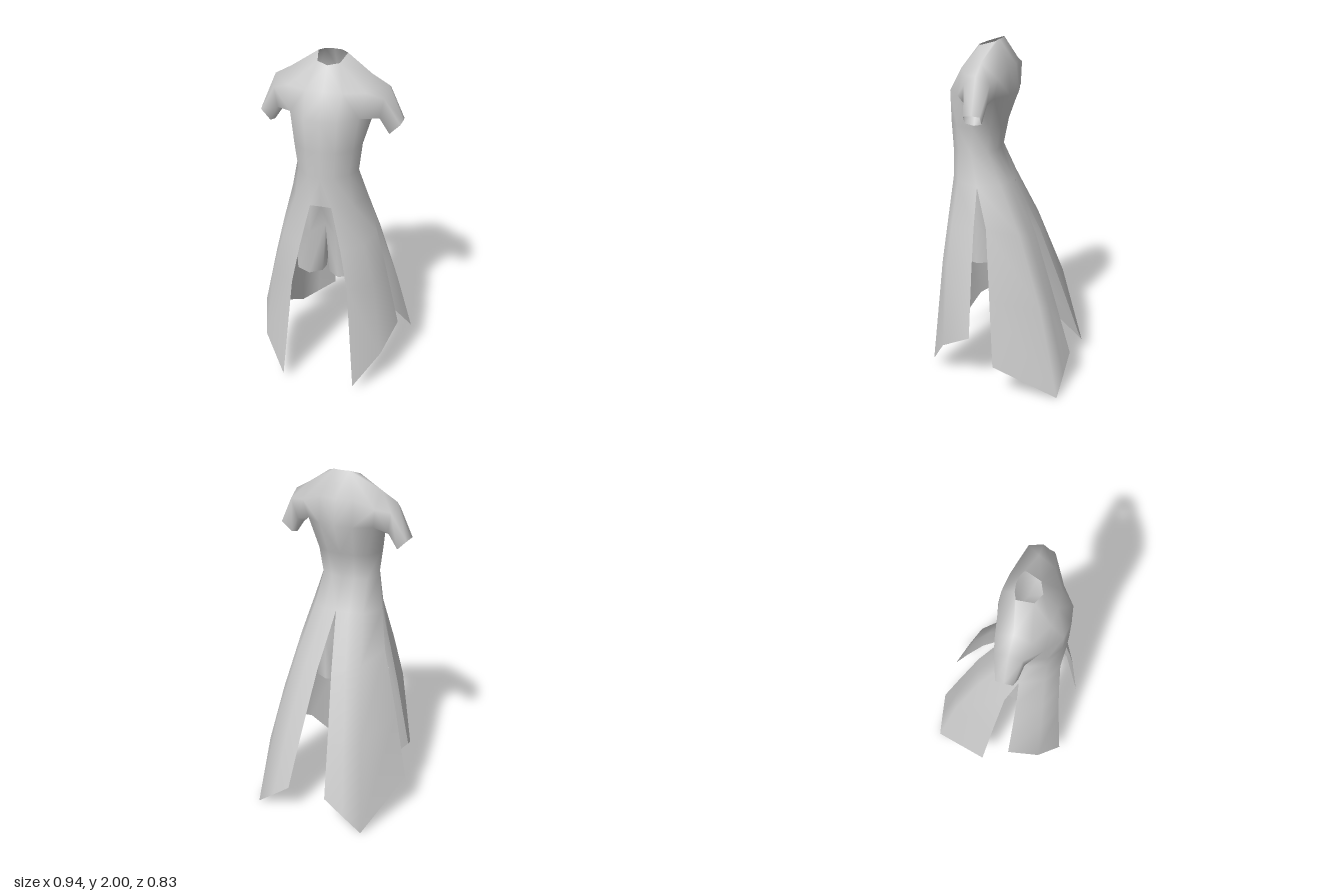
import * as THREE from 'three';
import { mergeVertices } from 'three/addons/utils/BufferGeometryUtils.js';

const material = new THREE.MeshStandardMaterial({ color: 0xcccccc, side: THREE.DoubleSide });

// Collects the surface of the left half (+x); build() adds the mirrored half.
class HalfSurface {
  constructor() { this.tris = []; }
  tri(a, b, c) { this.tris.push([a, b, c]); }
  // rows of points, stitched to each other
  grid(...rows) {
    for (let i = 0; i + 1 < rows.length; i++) {
      for (let j = 0; j + 1 < rows[i].length; j++) {
        const [a, b] = [rows[i], rows[i + 1]];
        this.tri(a[j], b[j], b[j + 1]);
        this.tri(a[j], b[j + 1], a[j + 1]);
      }
    }
  }
  build(name) {
    const flip = ([x, y, z]) => [-x, y, z];
    const pos = [];
    for (const [a, b, c] of this.tris) {
      pos.push(...a, ...b, ...c, ...flip(a), ...flip(c), ...flip(b));
    }
    let geo = new THREE.BufferGeometry();
    geo.setAttribute('position', new THREE.Float32BufferAttribute(pos, 3));
    geo = mergeVertices(geo, 1e-4);
    geo.computeVertexNormals();
    const mesh = new THREE.Mesh(geo, material);
    mesh.name = name;
    return mesh;
  }
}

// Half ring at one height, from front centre round the side to back centre
const ring = (y, xz) => xz.map(([x, z]) => [x, y, z]);
const close = (loop) => [...loop, loop[0]];

const hip = ring(1.2, [[0, 0.31], [0.06, 0.312], [0.165, 0.25], [0.22, 0.118], [0.155, 0.0], [0.075, -0.028], [0, -0.035]]);
const waist = ring(1.38, [[0, 0.322], [0.07, 0.305], [0.14, 0.25], [0.175, 0.165], [0.14, 0.08], [0.07, 0.05], [0, 0.043]]);
const ribs = ring(1.53, [[0, 0.325], [0.08, 0.31], [0.16, 0.25], [0.19, 0.15], [0.155, 0.06], [0.08, 0.022], [0, 0.015]]);
const chest = ring(1.71, [[0, 0.325], [0.09, 0.31], [0.185, 0.235], [0.24, 0.1], [0.2, 0.02], [0.1, -0.038], [0, -0.06]]);

function makeCoat() {
  const s = new HalfSurface();

  // Torso up to the armpit
  s.grid(chest, ribs, waist, hip);

  // Upper chest and back, either side of the armhole
  const front = [[0, 1.84, 0.248], [0.1, 1.84, 0.24], [0.21, 1.83, 0.175]];
  const back = [[0.22, 1.82, -0.01], [0.1, 1.86, -0.03], [0, 1.86, -0.043]];
  s.grid(front, chest.slice(0, 3));
  s.grid(back, chest.slice(4));

  // Shoulder and neckline
  const top = [0.22, 1.903, 0.085];
  const [n0, n1, n2, n3, n4] = [[0, 1.957, 0.168], [0.06, 1.965, 0.14], [0.08, 1.992, 0.053], [0.045, 2, 0.038], [0, 2, 0.032]];
  s.grid([n0, n1], front.slice(0, 2));
  s.grid([n3, n4], back.slice(1));
  s.tri(front[1], front[2], n1);
  s.tri(front[2], top, n1);
  s.tri(top, n2, n1);
  s.tri(n2, top, n3);
  s.tri(top, back[0], n3);
  s.tri(back[0], back[1], n3);

  // Sleeve: armhole, upper arm, cuff
  const armhole = [chest[3], chest[2], front[2], top, back[0], chest[4]];
  const arm = [[0.275, 1.655, 0.1], [0.28, 1.69, 0.16], [0.3, 1.8, 0.155], [0.31, 1.852, 0.085], [0.305, 1.81, 0.01], [0.28, 1.69, 0.035]];
  const cuff = [[0.32, 1.588, 0.095], [0.33, 1.6, 0.143], [0.385, 1.652, 0.132], [0.392, 1.66, 0.085], [0.388, 1.655, 0.04], [0.33, 1.6, 0.05]];
  s.grid(...[armhole, arm, cuff].map(close));

  // Front tail: slit edge, middle, side edge
  s.grid(
    hip.slice(1, 4),
    [[0.118, 0.94, 0.334], [0.235, 0.96, 0.268], [0.278, 0.97, 0.122]],
    [[0.162, 0.7, 0.357], [0.295, 0.72, 0.282], [0.332, 0.74, 0.12]],
    [[0.215, 0.05, 0.413], [0.355, 0.24, 0.297], [0.416, 0.35, 0.113]],
  );

  // Back tail: side edge to centre slit
  s.grid(
    hip.slice(3),
    [[0.275, 0.98, 0.05], [0.205, 0.93, -0.125], [0.125, 0.9, -0.165], [0.045, 0.88, -0.18]],
    [[0.38, 0.6, 0.0], [0.28, 0.52, -0.27], [0.185, 0.5, -0.3], [0.088, 0.5, -0.31]],
    [[0.47, 0.22, -0.045], [0.345, 0, -0.393], [0.232, 0.09, -0.405], [0.12, 0.18, -0.415]],
  );
  return s.build('coat');
}

function makeShorts() {
  const s = new HalfSurface();
  // Seat down to the crotch
  const thigh = [[0, 1.04, 0.22], [0.075, 1.0, 0.28], [0.16, 1.0, 0.25], [0.205, 1.0, 0.13], [0.16, 1.0, 0.03], [0.09, 1.0, 0.0], [0, 1.04, 0.035]];
  s.grid(hip, thigh);

  // Open leg
  const crotch = [0, 0.99, 0.15];
  const hem = [[0.02, 0.715, 0.215], [0.085, 0.718, 0.265], [0.16, 0.725, 0.24], [0.2, 0.728, 0.135], [0.16, 0.725, 0.035], [0.095, 0.72, 0.01], [0.05, 0.715, 0.04], [0.012, 0.713, 0.155]];
  s.grid(close([...thigh, crotch]), close(hem));
  return s.build('shorts');
}

export function createModel() {
  const model = new THREE.Group();
  model.name = 'outfit';
  model.add(makeCoat(), makeShorts());
  return model;
}
